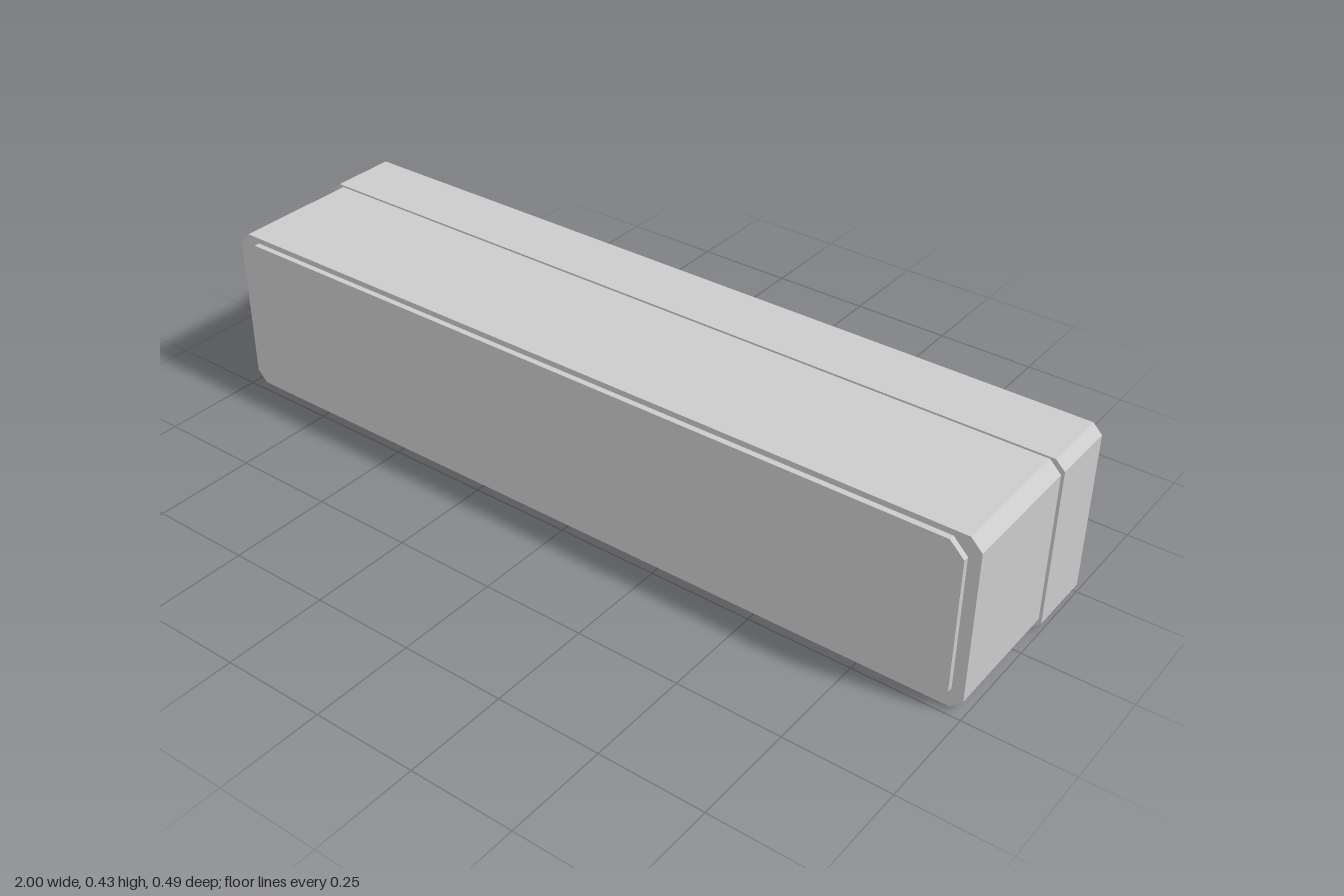
import * as THREE from 'three';

const CENTER_Y = 0.213;

// Rectangular block with chamfered corners, running from zBack to zFront
function chamferedBlock(name, halfW, halfH, c, zBack, zFront) {
  const shape = new THREE.Shape([
    [halfW - c, -halfH], [halfW, -halfH + c], [halfW, halfH - c], [halfW - c, halfH],
    [-halfW + c, halfH], [-halfW, halfH - c], [-halfW, -halfH + c], [-halfW + c, -halfH],
  ].map(([x, y]) => new THREE.Vector2(x, y)));
  const geometry = new THREE.ExtrudeGeometry(shape, { depth: zFront - zBack, bevelEnabled: false });
  const material = new THREE.MeshStandardMaterial({ color: 0xcccccc, flatShading: true });
  const mesh = new THREE.Mesh(geometry, material);
  mesh.name = name;
  mesh.position.set(0, CENTER_Y, zBack);
  return mesh;
}

export function createModel() {
  const group = new THREE.Group();
  group.name = 'chamferedBox';
  group.add(
    chamferedBlock('backCover', 1, 0.2125, 0.022, -0.246, -0.083),
    chamferedBlock('body', 0.993, 0.208, 0.027, -0.083, 0.232),
    chamferedBlock('frontPanel', 0.965, 0.1945, 0.034, 0.232, 0.246),
  );
  return group;
}
